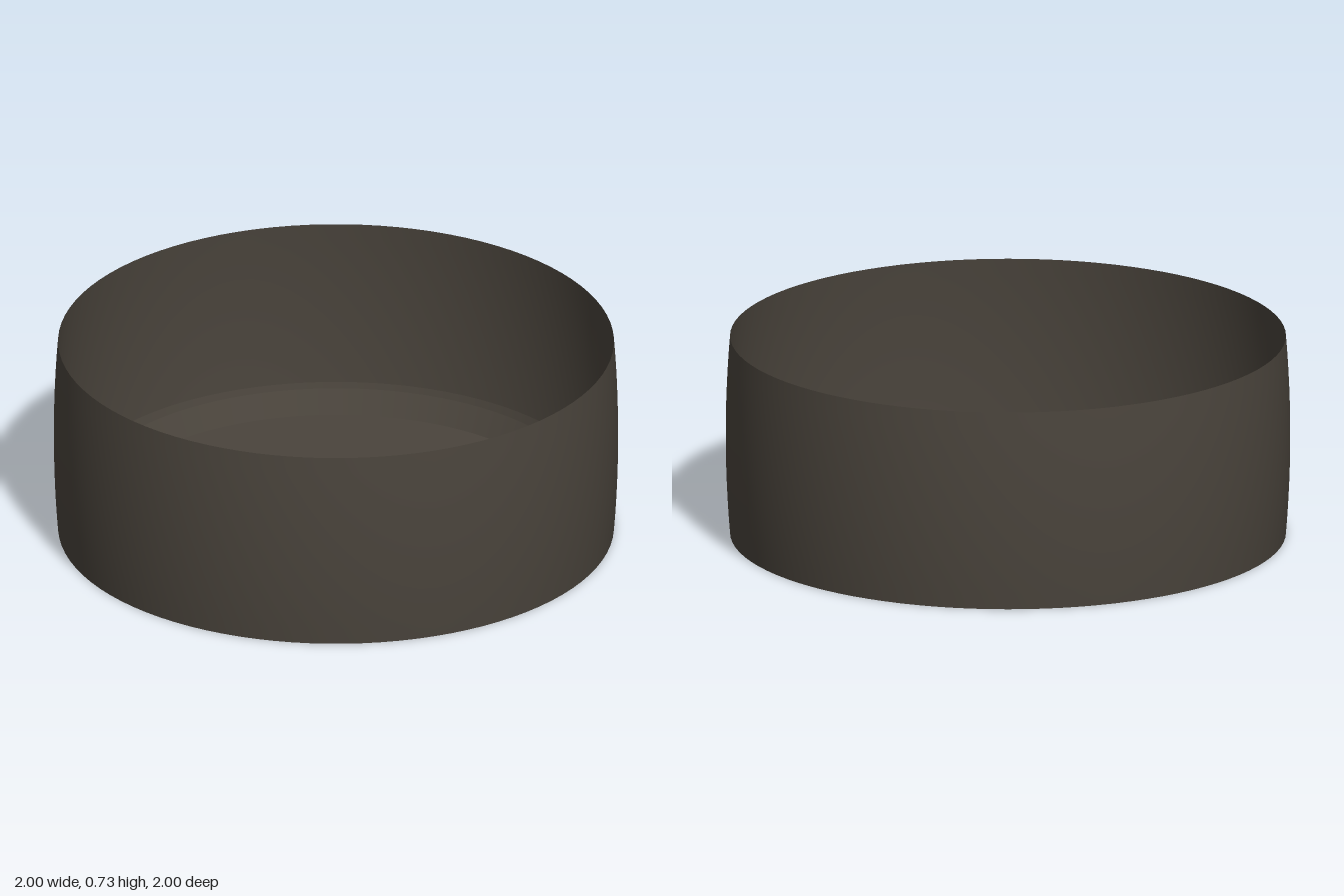
import * as THREE from 'three';

const HEIGHT = 0.725;

export function createModel() {
  const group = new THREE.Group();
  const darkBrown = new THREE.MeshStandardMaterial({ color: 0x4a443c, side: THREE.DoubleSide });
  darkBrown.name = 'dark brown';

  function add(name, geometry) {
    const mesh = new THREE.Mesh(geometry, darkBrown);
    mesh.name = name;
    group.add(mesh);
    return mesh;
  }

  // Open wall of revolution between two heights; bulge swells its middle
  function wall(name, rBottom, rTop, top, bulge = 0, steps = 1) {
    const profile = [];
    for (let i = 0; i <= steps; i++) {
      const t = i / steps;
      const r = rBottom + (rTop - rBottom) * t + bulge * 4 * t * (1 - t);
      profile.push(new THREE.Vector2(r, top * t));
    }
    return add(name, new THREE.LatheGeometry(profile, 96));
  }

  // Tall, slightly barrelled outer wall
  wall('outerWall', 0.985, 0.985, HEIGHT, 0.015, 12);

  // Two low flared rings nested at the base
  wall('middleRing', 0.917, 0.951, 0.125);
  wall('innerRing', 0.837, 0.897, 0.125);

  // Thin floor disc with a square opening
  const disc = new THREE.Shape();
  disc.absarc(0, 0, 0.835, 0, Math.PI * 2, false);
  const s = 0.333;
  disc.holes.push(new THREE.Path([
    new THREE.Vector2(-s, -s), new THREE.Vector2(-s, s),
    new THREE.Vector2(s, s), new THREE.Vector2(s, -s),
  ]));
  const floor = add('floorDisc', new THREE.ShapeGeometry(disc, 48));
  floor.rotation.x = -Math.PI / 2;
  floor.position.y = 0.05;

  return group;
}
